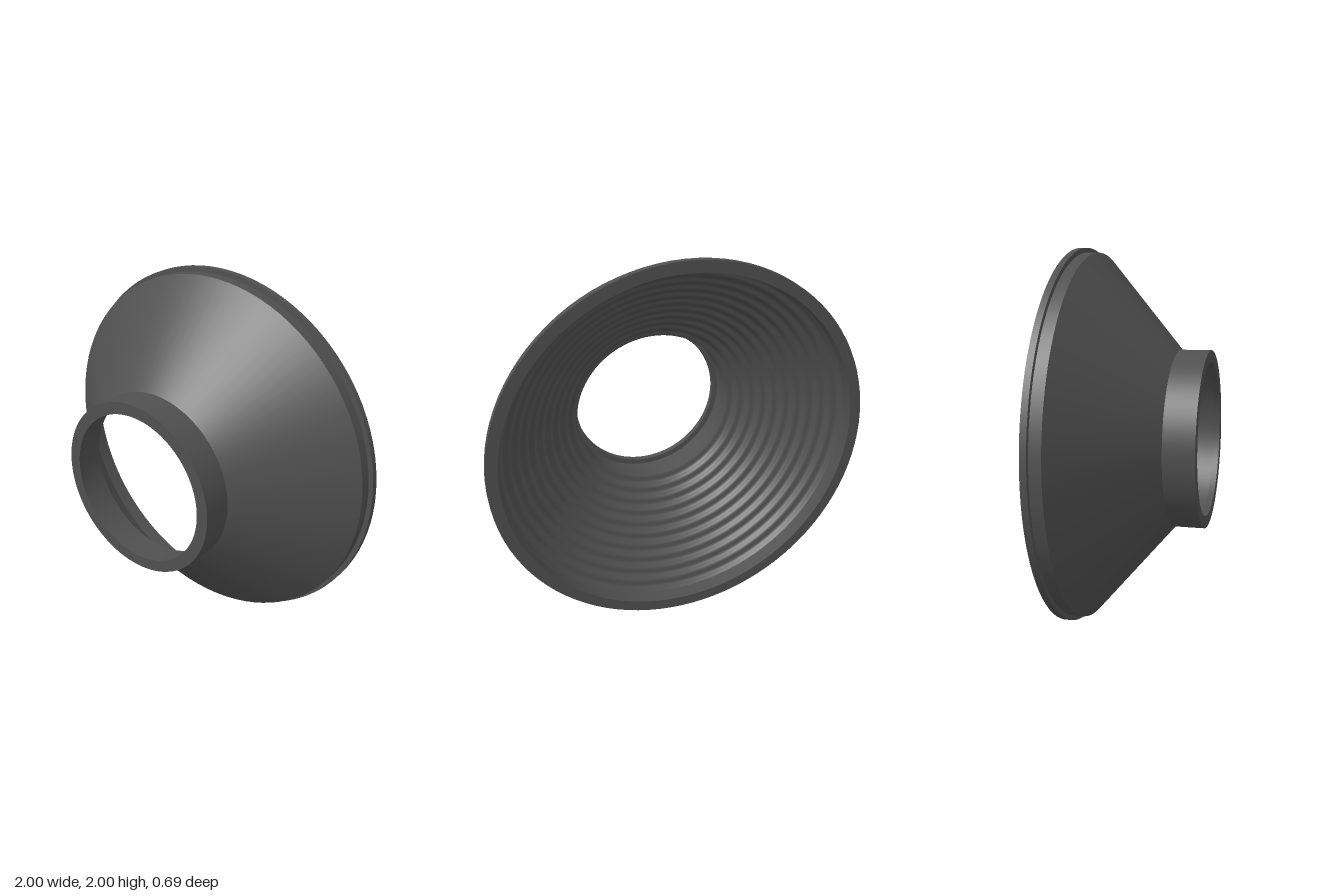
import * as THREE from 'three';
import { mergeGeometries } from 'three/addons/utils/BufferGeometryUtils.js';

const SEGMENTS = 96;

// Revolve [radius, z] points around the z axis
function revolve(points) {
  const geometry = new THREE.LatheGeometry(points.map(([r, z]) => new THREE.Vector2(r, z)), SEGMENTS);
  return geometry.rotateX(Math.PI / 2);
}

// Revolve each straight segment separately, so that the corners stay sharp
function sharpRevolve(points) {
  return mergeGeometries(points.slice(1).map((p, i) => revolve([points[i], p])));
}

// Smooth ripples along the sloping inner wall
function ripplePoints(from, to, ripples, height) {
  const points = [];
  const dr = to[0] - from[0], dz = to[1] - from[1];
  const length = Math.hypot(dr, dz);
  const steps = ripples * 10;
  for (let i = 0; i <= steps; i++) {
    const t = i / steps;
    const lift = height * 0.5 * (1 - Math.cos(t * ripples * Math.PI * 2));
    points.push([from[0] + dr * t + (dz / length) * -lift, from[1] + dz * t + (dr / length) * lift]);
  }
  return points;
}

export function createModel() {
  const group = new THREE.Group();
  group.name = 'flaredAdapter';
  const darkGrey = new THREE.MeshStandardMaterial({ color: 0x505050 });
  darkGrey.name = 'darkGrey';

  const add = (name, geometry) => {
    const mesh = new THREE.Mesh(geometry, darkGrey);
    mesh.name = name;
    mesh.position.y = 1;
    group.add(mesh);
  };

  // Wide rear flange with its stepped shoulder
  add('rearFlange', sharpRevolve([
    [0.94, -0.26], [0.94, -0.343], [1, -0.343], [1, -0.31], [0.975, -0.31], [0.975, -0.25],
  ]));

  // Smooth outer cone
  add('outerCone', sharpRevolve([[0.975, -0.25], [0.472, 0.18]]));

  // Front neck with a narrow lip inside the bore
  add('frontNeck', sharpRevolve([
    [0.472, 0.18], [0.472, 0.343], [0.408, 0.343], [0.408, 0.31], [0.437, 0.31], [0.437, 0.165],
  ]));

  // Rippled inner cone
  add('rippledInnerCone', revolve(ripplePoints([0.437, 0.165], [0.94, -0.26], 10, 0.012)));

  return group;
}
